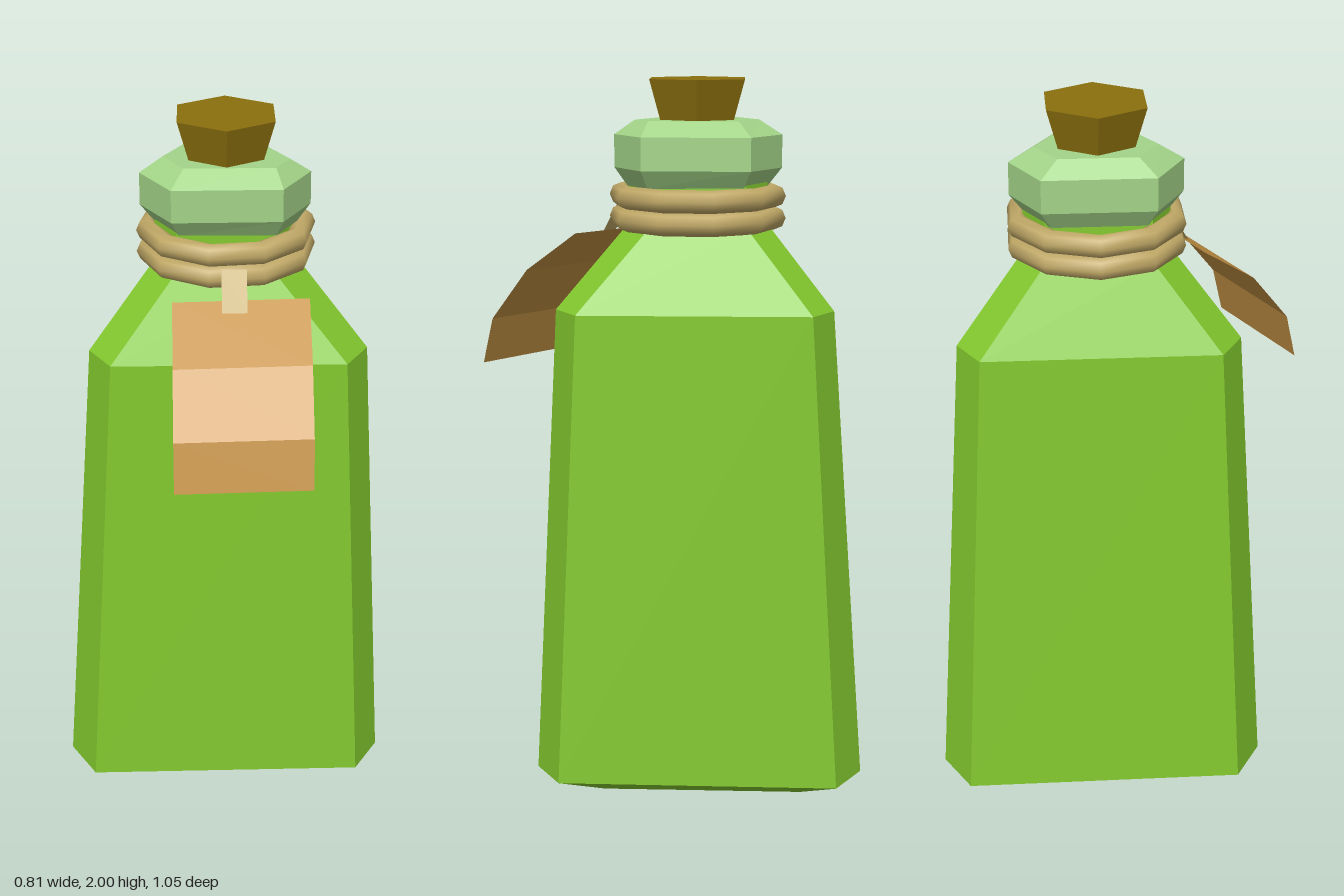
import * as THREE from 'three';

const CX = -0.082, CZ = -0.06; // axis of the neck

function material(name, color) {
  const m = new THREE.MeshStandardMaterial({ color });
  m.name = name;
  return m;
}

function geometryFrom(tris) {
  const g = new THREE.BufferGeometry();
  g.setAttribute('position', new THREE.Float32BufferAttribute(tris.flat(), 3));
  g.computeVertexNormals();
  return g;
}

// Triangular section with cut corners: [y, left x, rear corner x, right x, left z, rear z, right z]
function section([y, xl, xm, xr, zl, zm, zr]) {
  return [[xl, -zl], [xm, -zm], [xr, -zr], [xr, zr], [xm, zm], [xl, zl]]
    .map(([x, z]) => [x, y, CZ + z]);
}

// Flat-sided solid through stacked sections, closed at both ends
function loft(levels) {
  const rings = levels.map(section), tris = [], n = 6;
  for (let k = 0; k < rings.length - 1; k++) {
    const a = rings[k], b = rings[k + 1];
    for (let i = 0; i < n; i++) {
      const j = (i + 1) % n;
      tris.push(...a[j], ...a[i], ...b[i], ...a[j], ...b[i], ...b[j]);
    }
  }
  const lo = rings[0], hi = rings[rings.length - 1];
  for (let i = 1; i < n - 1; i++) {
    tris.push(...lo[0], ...lo[i], ...lo[i + 1], ...hi[0], ...hi[i + 1], ...hi[i]);
  }
  return geometryFrom(tris);
}

// Open strip between pairs of left and right points
function strip(pairs) {
  const tris = [];
  for (let i = 0; i < pairs.length - 1; i++) {
    const [a, b] = pairs[i], [c, d] = pairs[i + 1];
    tris.push(...a, ...c, ...d, ...a, ...d, ...b);
  }
  return geometryFrom(tris);
}

export function createModel() {
  const group = new THREE.Group();
  const green = material('green glass', 0x82c82e);
  const pale = material('pale glass', 0xa3d488);
  const ropeTan = material('rope', 0xc0a866);
  const corkBrown = material('cork', 0x8c700e);
  const tagBrown = material('tag paper', 0xc49244);
  tagBrown.side = THREE.DoubleSide;
  ropeTan.side = THREE.DoubleSide;

  const add = (name, geometry, mat) => {
    const mesh = new THREE.Mesh(geometry, mat);
    mesh.name = name;
    group.add(mesh);
    return mesh;
  };

  // Bottle body with bevelled foot, shoulder and neck
  add('bottleBody', loft([
    [0, -0.335, -0.24, 0.245, 0.285, 0.34, 0.06],
    [0.05, -0.41, -0.28, 0.395, 0.39, 0.465, 0.07],
    [1.38, -0.335, -0.23, 0.325, 0.32, 0.38, 0.062],
    [1.6, -0.23, -0.13, 0.105, 0.145, 0.2, 0.064],
    [1.73, -0.225, -0.125, 0.1, 0.14, 0.195, 0.062],
  ]), green);

  // Thick lip around the mouth
  add('bottleLip', loft([
    [1.71, -0.235, -0.12, 0.105, 0.125, 0.19, 0.06],
    [1.76, -0.265, -0.12, 0.135, 0.15, 0.23, 0.08],
    [1.85, -0.265, -0.12, 0.135, 0.15, 0.23, 0.08],
    [1.89, -0.217, -0.12, 0.092, 0.105, 0.163, 0.04],
  ]), pale);

  // Cork stopper
  const cork = new THREE.CylinderGeometry(0.15, 0.107, 0.14, 6).toNonIndexed();
  cork.computeVertexNormals();
  cork.rotateY(Math.PI / 6);
  cork.translate(CX, 1.93, CZ);
  add('cork', cork, corkBrown);

  // Two turns of rope
  for (const [i, y] of [1.62, 1.681].entries()) {
    const rope = new THREE.TorusGeometry(0.215, 0.032, 8, 10);
    rope.rotateX(Math.PI / 2);
    rope.translate(CX, y, CZ);
    add('ropeTurn' + (i + 1), rope, ropeTan);
  }

  // Rope end that holds the tag
  add('tagTie', strip([
    [[0.02, 1.65, 0.15], [0.078, 1.65, 0.117]],
    [[0.05, 1.55, 0.203], [0.108, 1.55, 0.168]],
  ]), ropeTan);

  // Curled paper tag: outward distance and height down its length
  const curl = [[0, 1.57], [0.17, 1.455], [0.295, 1.305], [0.33, 1.173]];
  add('tag', strip(curl.map(([d, y]) => {
    const x = d * 0.5, z = d * 0.866;
    return [[-0.083 + x, y - 0.004, 0.235 + z], [0.237 + x, y + 0.008, 0.06 + z]];
  })), tagBrown);

  return group;
}
